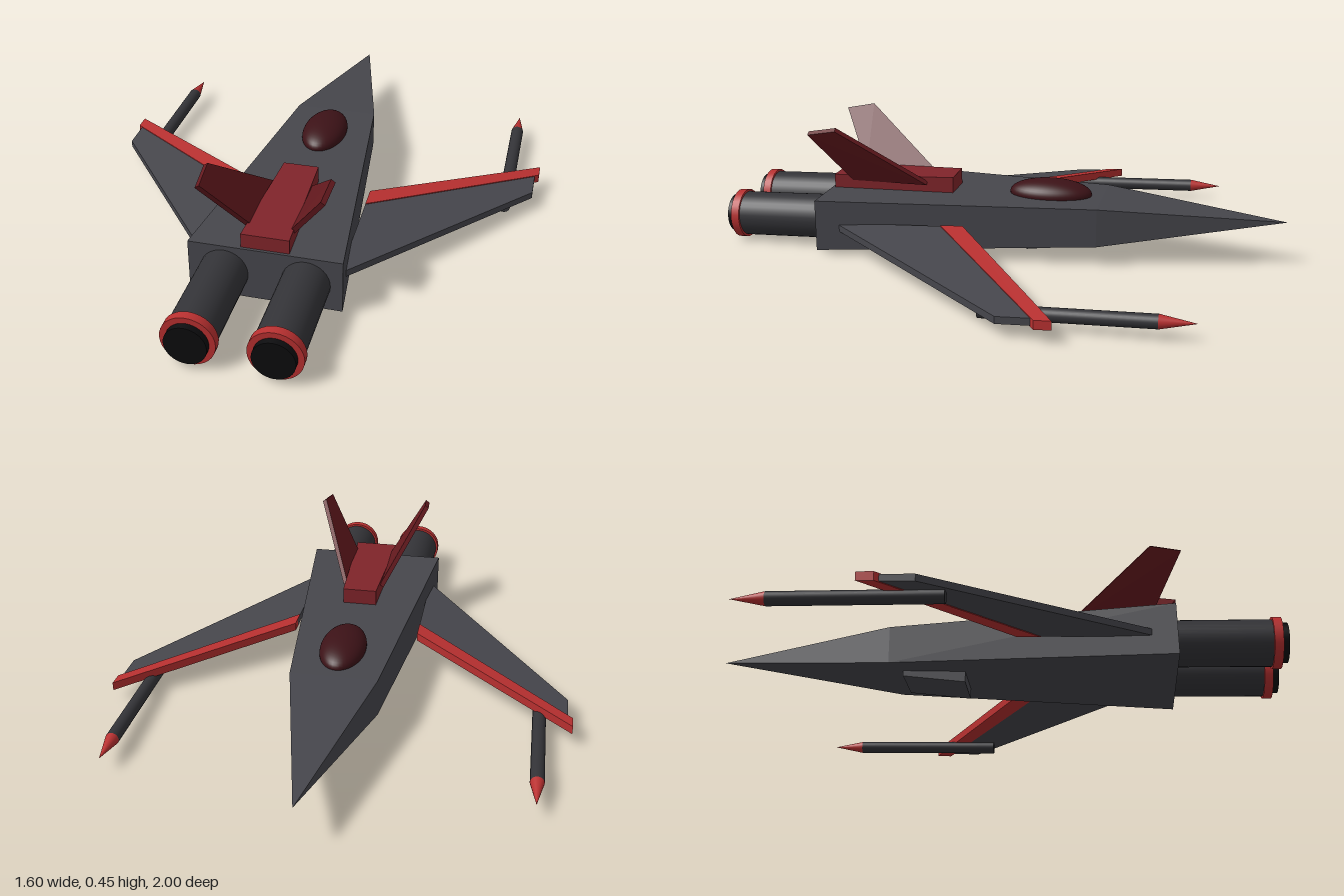
import * as THREE from 'three';
import { ConvexGeometry } from 'three/addons/geometries/ConvexGeometry.js';

const mat = (color, flatShading = false) => new THREE.MeshStandardMaterial({ color, flatShading });
const hullGrey = mat(0x46464c, true);
const engineGrey = mat(0x333337);
const nozzleBlack = mat(0x0c0c0e);
const brightRed = mat(0xb83030);
const tailRed = mat(0x80242a, true);
const finRed = mat(0x64191e, true);
const glassRed = mat(0x3c1217);

const PITCH = -(Math.PI / 2 - 0.038); // local +y points forward and slightly up

function mesh(name, geometry, material) {
  const m = new THREE.Mesh(geometry, material);
  m.name = name;
  return m;
}

// flat-faced convex solid from corner points
const solid = (name, pts, material) =>
  mesh(name, new ConvexGeometry(pts.map((p) => new THREE.Vector3(...p))), material);

// rectangle section across the body at z
const section = (z, w, bottom, top) =>
  [[-w, bottom, z], [w, bottom, z], [w, top, z], [-w, top, z]];

// outline thickened by +-offset
const plate = (name, outline, [ox, oy, oz], material) =>
  solid(name, outline.flatMap(([x, y, z]) =>
    [[x + ox, y + oy, z + oz], [x - ox, y - oy, z - oz]]), material);

// cylinder or cone standing on local height y
function tube(name, rTop, rBottom, y, h, material) {
  const g = new THREE.CylinderGeometry(rTop, rBottom, h, 32);
  g.translate(0, y + h / 2, 0);
  return mesh(name, g, material);
}

// height of the drooping, slightly pitched wing plane
const wingY = (x, z) => 0.1 - 0.05 * (z - 0.55) - 0.145 * (x - 0.25);
const onWing = (pts) => pts.map(([x, z]) => [x, wingY(x, z), z]);

function addSide(model, s) {
  const label = s > 0 ? 'left' : 'right';
  const mirror = (pts) => pts.map(([x, y, z]) => [s * x, y, z]);

  // forward-swept wing with a thicker leading edge
  model.add(plate(label + 'Wing',
    mirror(onWing([[0.23, 0.13], [0.23, 0.565], [0.785, -0.155], [0.785, -0.29]])),
    [0, 0.012, 0], hullGrey));
  model.add(plate(label + 'WingLeadingEdge',
    mirror(onWing([[0.23, 0.095], [0.23, 0.175], [0.8, -0.275], [0.8, -0.33]])),
    [0, 0.015, 0], brightRed));

  // canted tail fin
  model.add(plate(label + 'TailFin',
    mirror([[0.07, 0.235, 0.27], [0.07, 0.235, 0.55], [0.198, 0.43, 0.665], [0.205, 0.45, 0.56]]),
    [s * 0.007, -0.005, 0], finRed));

  // engine
  const engine = new THREE.Group();
  engine.name = label + 'Engine';
  engine.position.set(s * 0.135, 0.09, 0.997);
  engine.rotation.x = PITCH;
  engine.add(
    tube('nozzle', 0.068, 0.068, 0, 0.06, nozzleBlack),
    tube('engineRing', 0.088, 0.088, 0.022, 0.03, brightRed),
    tube('engineBody', 0.08, 0.08, 0.05, 0.42, engineGrey));
  model.add(engine);

  // under-wing missile
  const missile = new THREE.Group();
  missile.name = label + 'Missile';
  missile.position.set(s * 0.69, 0.04, -0.08);
  missile.rotation.x = PITCH;
  missile.add(
    tube('missileBody', 0.023, 0.023, 0, 0.55, engineGrey),
    tube('missileTip', 0, 0.023, 0.55, 0.115, brightRed));
  model.add(missile);
}

export function createModel() {
  const model = new THREE.Group();
  model.name = 'jetFighter';

  // main body and pointed nose
  const shoulder = section(-0.36, 0.15, 0.072, 0.208);
  model.add(solid('fuselage', [...shoulder, ...section(0.63, 0.255, 0.015, 0.199)], hullGrey));
  model.add(solid('nose', [...shoulder, [0, 0.163, -1]], hullGrey));

  // belly intake
  model.add(solid('intake',
    [...section(-0.32, 0.08, 0.05, 0.1), ...section(-0.1, 0.08, 0.018, 0.1)], hullGrey));

  // cockpit canopy
  const canopy = mesh('canopy', new THREE.SphereGeometry(1, 40, 24), glassRed);
  canopy.scale.set(0.08, 0.05, 0.148);
  canopy.position.set(0, 0.212, -0.172);
  model.add(canopy);

  // raised block that carries the fins
  model.add(solid('tailBlock',
    [...section(0.175, 0.062, 0.19, 0.26), ...section(0.62, 0.08, 0.19, 0.248)], tailRed));

  for (const s of [1, -1]) addSide(model, s);
  return model;
}
